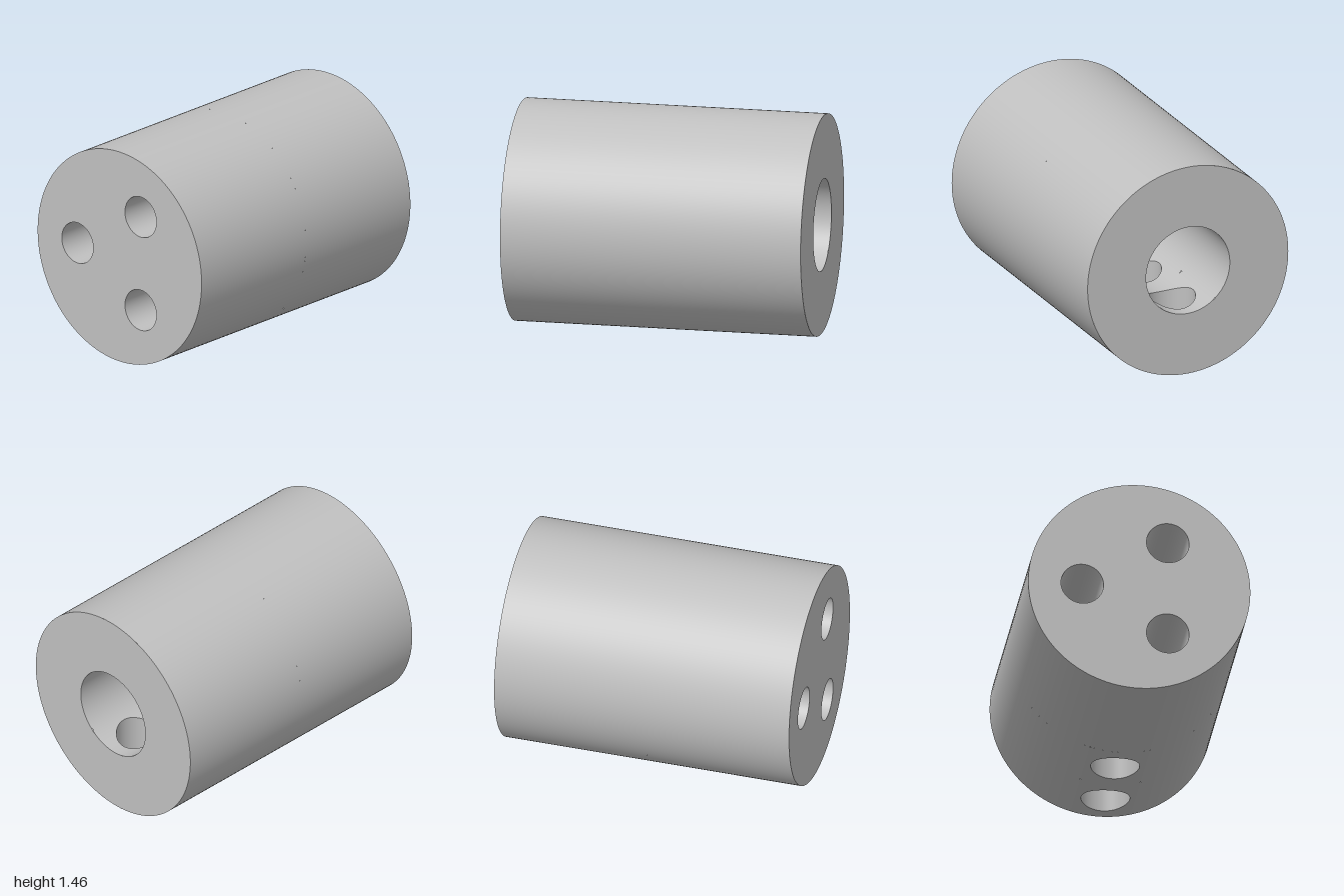
import * as THREE from 'three';
import { ParametricGeometry } from 'three/addons/geometries/ParametricGeometry.js';

const R = 0.73, BORE = 0.305, BOLT = 0.14, CROSS = 0.16;
const CY = R;            // height of the axis
const S = 0.2, HZ = 0.25; // half width and half length of the wall patch round a cross hole

export function createModel() {
  const group = new THREE.Group();
  const steel = new THREE.MeshStandardMaterial({ color: 0xc0c0c0, side: THREE.DoubleSide });
  steel.name = 'grey steel';

  const add = (name, geometry, x = 0, y = CY, z = 0) => {
    const mesh = new THREE.Mesh(geometry, steel);
    mesh.name = name;
    mesh.position.set(x, y, z);
    group.add(mesh);
  };

  // Open tube along z from z0 to z1, with an optional gap centred on the bottom
  const tube = (name, rFront, rBack, z0, z1, x = 0, y = CY, gap = 0) => {
    const g = new THREE.CylinderGeometry(rFront, rBack, z1 - z0, 128, 1, true, gap, Math.PI * 2 - 2 * gap);
    add(name, g.rotateX(Math.PI / 2), x, y, (z0 + z1) / 2);
  };

  // Positions of the bolt holes on their circle
  const bolts = [Math.PI / 3, Math.PI, -Math.PI / 3].map(
    (a) => [0.375 * Math.cos(a), 0.375 * Math.sin(a)]);

  // Flat end face with round holes
  const endFace = (holes) => {
    const shape = new THREE.Shape().absarc(0, 0, R, 0, Math.PI * 2);
    for (const [x, y, r] of holes) {
      shape.holes.push(new THREE.Path().absarc(x, y, r, 0, Math.PI * 2, true));
    }
    return new THREE.ShapeGeometry(shape, 64);
  };
  add('frontFace', endFace(bolts.map(([x, y]) => [x, y, BOLT])), 0, CY, 1);
  add('backFace', endFace([[0, 0, BORE]]).rotateY(Math.PI), 0, CY, -1);

  // Outer wall and stepped bore; the rear half leaves a gap for the cross holes
  tube('frontOuterWall', R, R, 0, 1);
  tube('rearOuterWall', R, R, -1, 0, 0, CY, Math.asin(S / R));
  tube('boreWall', BORE, BORE, -1, 0, 0, CY, Math.asin(S / BORE));
  tube('boreTip', 0.001, BORE, 0, 0.18);

  // Blind bolt holes with drilled tips
  for (const [x, y] of bolts) {
    tube('boltHoleWall', BOLT, BOLT, 0.4, 1, x, CY + y);
    tube('boltHoleTip', BOLT, 0.001, 0.32, 0.4, x, CY + y);
  }

  // Two cross holes from the underside into the bore
  const drop = (radius, x) => -Math.sqrt(radius * radius - x * x);
  const patch = (radius) => new ParametricGeometry((u, v, p) => {
    const a = u * Math.PI * 2, c = Math.cos(a), s = Math.sin(a);
    const reach = Math.min(S / Math.max(Math.abs(c), 1e-6), HZ / Math.max(Math.abs(s), 1e-6));
    const d = THREE.MathUtils.lerp(CROSS, reach, v);
    const x = THREE.MathUtils.clamp(d * c, -S, S);
    p.set(x, drop(radius, x), d * s);
  }, 128, 6);
  const crossWall = () => new ParametricGeometry((u, v, p) => {
    const a = u * Math.PI * 2, x = CROSS * Math.cos(a);
    p.set(x, THREE.MathUtils.lerp(drop(R, x), drop(BORE, x), v), CROSS * Math.sin(a));
  }, 128, 1);
  for (const z of [-0.25, -0.75]) {
    add('outerPatch', patch(R), 0, CY, z);
    add('borePatch', patch(BORE), 0, CY, z);
    add('crossHoleWall', crossWall(), 0, CY, z);
  }

  return group;
}
